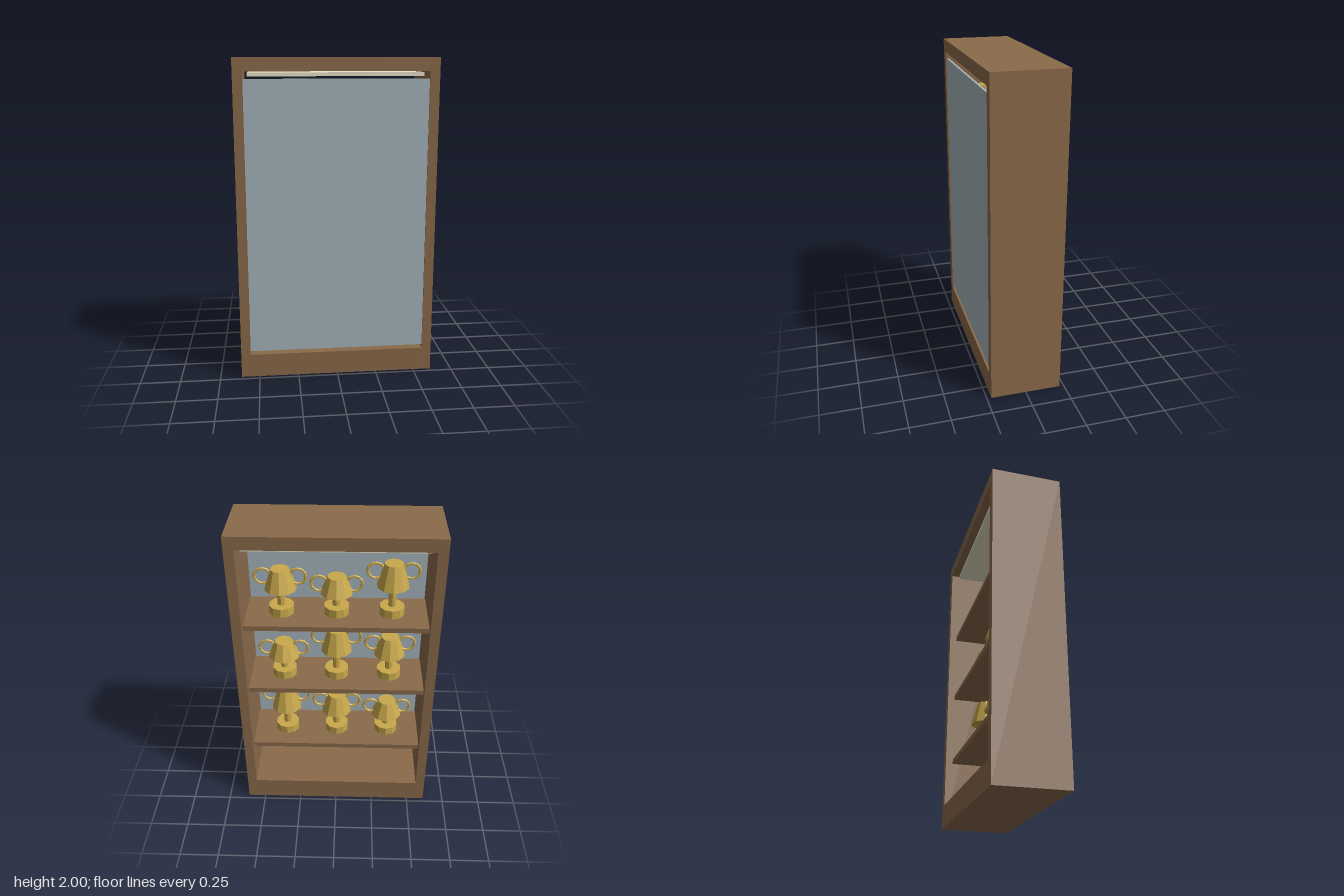
import * as THREE from 'three';

const paint = (color, extra = {}) => new THREE.MeshStandardMaterial({ color, ...extra });
const wood = paint(0x8b6a4a);
const glass = paint(0xa6b6bd);
const glow = paint(0xeae4c8);
const gold = paint(0xc9a84c, { flatShading: true });

function add(parent, name, geometry, material, x = 0, y = 0, z = 0) {
  const mesh = new THREE.Mesh(geometry, material);
  mesh.name = name;
  mesh.position.set(x, y, z);
  parent.add(mesh);
  return mesh;
}

// Box given by its bottom and top heights
function slab(parent, name, material, width, bottom, top, depth, x = 0, z = 0) {
  const box = new THREE.BoxGeometry(width, top - bottom, depth);
  return add(parent, name, box, material, x, (bottom + top) / 2, z);
}

// Trophy: round base, stem, tapered cup and two ring handles
function makeTrophy(height) {
  const trophy = new THREE.Group();
  trophy.name = 'trophy';
  const baseHeight = 0.055;
  const cupHeight = 0.44 * height;
  const stemHeight = height - baseHeight - cupHeight;
  add(trophy, 'trophyBase', new THREE.CylinderGeometry(0.078, 0.078, baseHeight, 10), gold, 0, baseHeight / 2);
  add(trophy, 'trophyStem', new THREE.CylinderGeometry(0.024, 0.024, stemHeight, 8), gold, 0, baseHeight + stemHeight / 2);
  add(trophy, 'trophyCup', new THREE.CylinderGeometry(0.057, 0.1, cupHeight, 10), gold, 0, height - cupHeight / 2);
  for (const side of [-1, 1]) {
    add(trophy, 'trophyHandle', new THREE.TorusGeometry(0.05, 0.009, 6, 12), gold, side * 0.105, height - 0.05);
  }
  return trophy;
}

export function createModel() {
  const cabinet = new THREE.Group();
  cabinet.name = 'displayCabinet';
  const width = 1.23, depth = 0.444, wall = 0.06;
  const inner = width - 2 * wall;

  // Open wooden frame
  slab(cabinet, 'cabinetBase', wood, inner, 0, 0.15, depth);
  slab(cabinet, 'cabinetTop', wood, inner, 1.92, 2, depth);
  for (const side of [-1, 1]) {
    slab(cabinet, 'sideWall', wood, wall, 0, 2, depth, side * (width - wall) / 2);
  }

  // Front pane and light panel under the top
  slab(cabinet, 'frontPane', glass, inner, 0.172, 1.877, 0.014, 0, 0.208);
  slab(cabinet, 'lightPanel', glow, 1.06, 1.89, 1.913, 0.344);

  // Shelves, each with three trophies of alternating height
  [0.465, 0.933, 1.4].forEach((top, row) => {
    slab(cabinet, 'shelf', wood, inner, top - 0.032, top, 0.35);
    for (let i = 0; i < 3; i++) {
      const trophy = makeTrophy(0.25 + 0.045 * ((row + i) % 3));
      trophy.position.set((i - 1) * 0.337, top, 0);
      cabinet.add(trophy);
    }
  });

  return cabinet;
}
